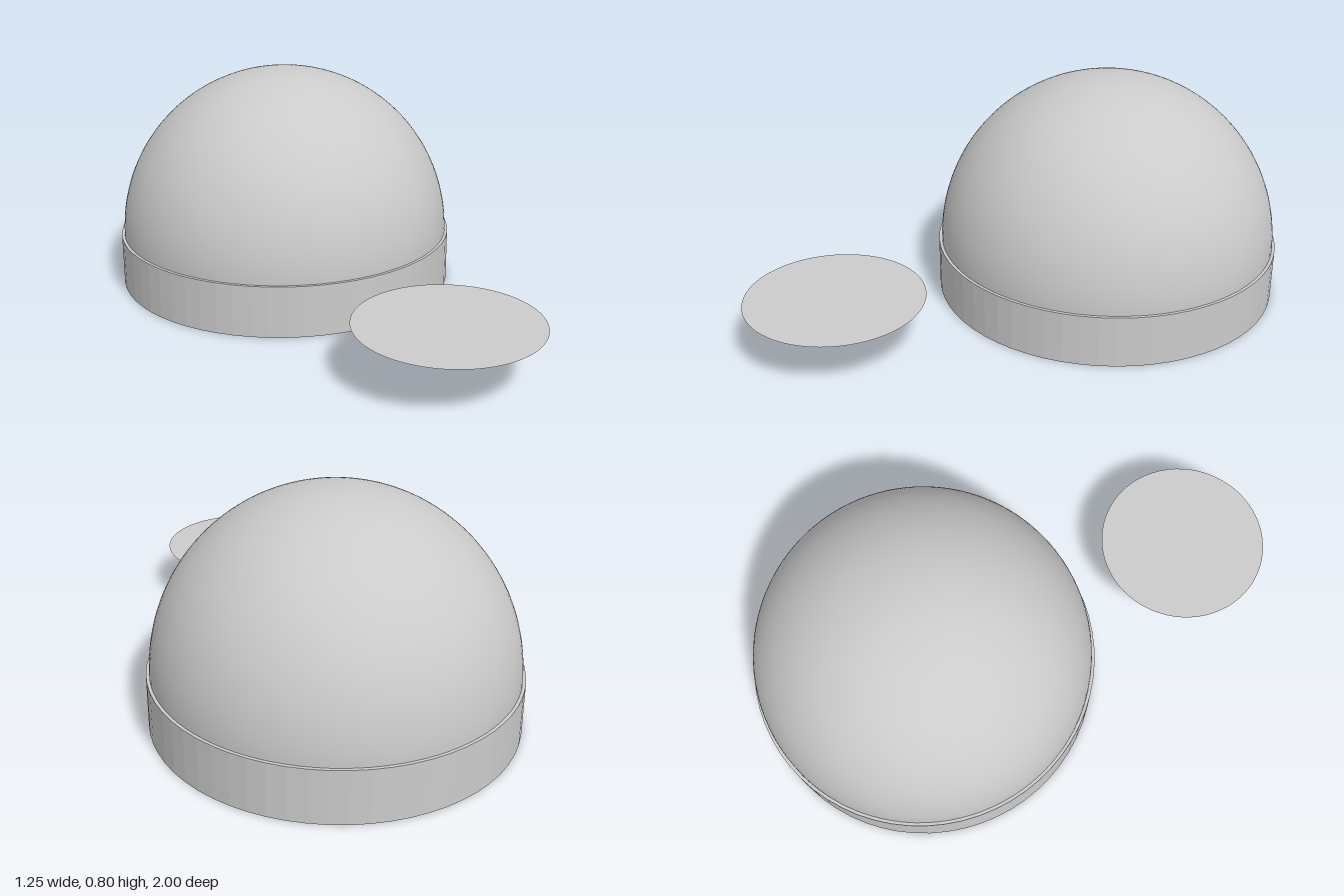
import * as THREE from 'three';

export function createModel() {
  const model = new THREE.Group();
  const grey = new THREE.MeshStandardMaterial({ color: 0xcccccc });
  const faceted = new THREE.MeshStandardMaterial({ color: 0xcccccc, flatShading: true });
  const thin = new THREE.MeshStandardMaterial({ color: 0xcccccc, side: THREE.DoubleSide });

  const baseRadius = 0.625, baseHeight = 0.187, domeRadius = 0.614;
  const domeZ = -1 + baseRadius;

  const add = (name, geometry, material, y, z) => {
    const mesh = new THREE.Mesh(geometry, material);
    mesh.name = name;
    mesh.position.set(0, y, z);
    model.add(mesh);
  };

  // Drum-shaped base
  add('base', new THREE.CylinderGeometry(baseRadius, baseRadius, baseHeight, 64),
    faceted, baseHeight / 2, domeZ);

  // Hemisphere resting on the base, leaving a narrow rim
  add('dome', new THREE.SphereGeometry(domeRadius, 96, 40, 0, Math.PI * 2, 0, Math.PI / 2),
    grey, baseHeight, domeZ);

  // Thin round plate floating level with the rim, in front of the dome
  const plateRadius = 0.307;
  add('frontDisc', new THREE.CircleGeometry(plateRadius, 64).rotateX(-Math.PI / 2),
    thin, 0.192, 1 - plateRadius);

  return model;
}
